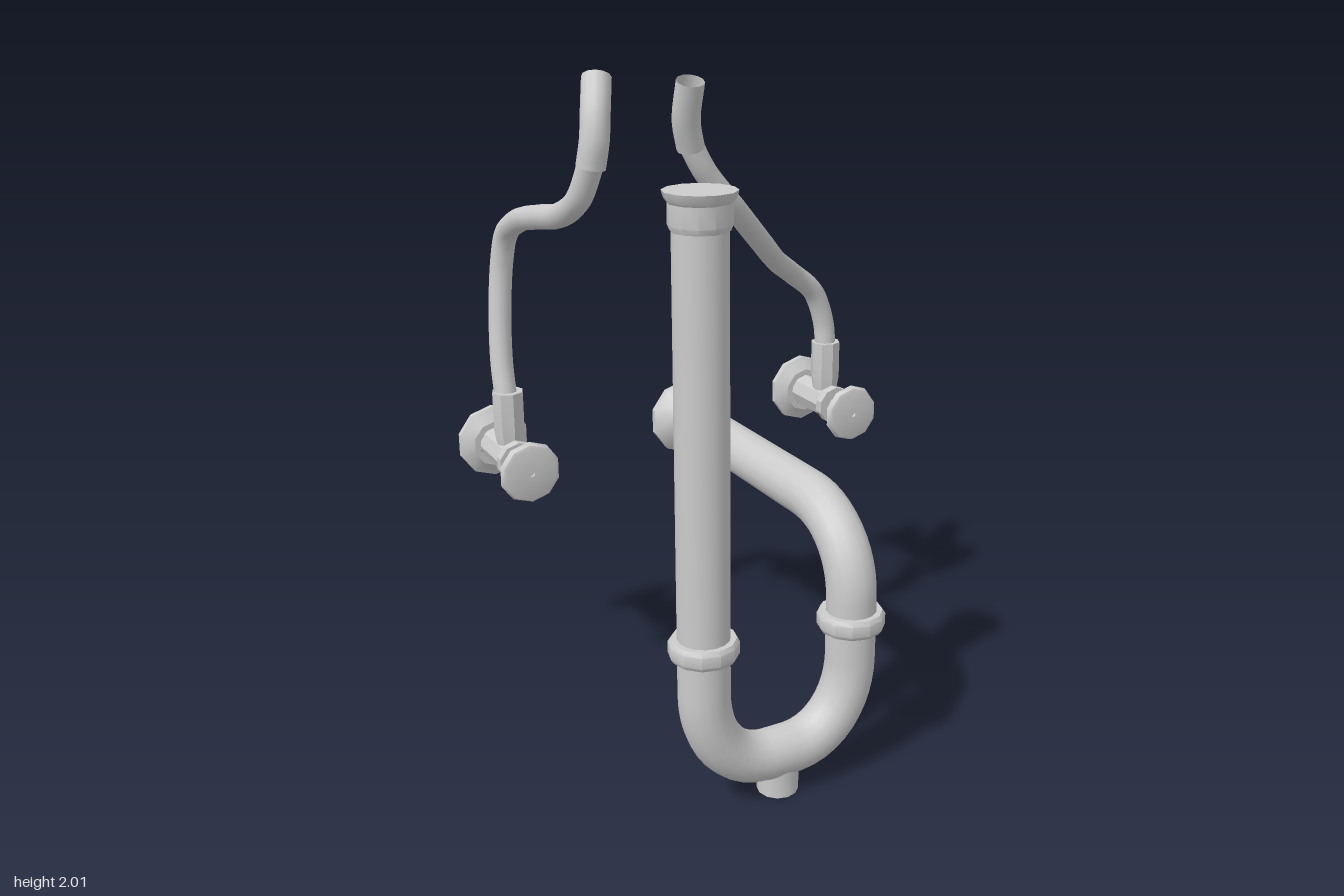
import * as THREE from 'three';
import { toCreasedNormals } from 'three/addons/utils/BufferGeometryUtils.js';

const material = new THREE.MeshStandardMaterial({ color: 0xcccccc, side: THREE.DoubleSide });
const V = (x, y, z) => new THREE.Vector3(x, y, z);

function add(parent, name, geometry, x = 0, y = 0, z = 0) {
  const mesh = new THREE.Mesh(geometry, material);
  mesh.name = name;
  mesh.position.set(x, y, z);
  parent.add(mesh);
  return mesh;
}

// Turned part from [radius, height] pairs, optionally laid along +z
function turned(profile, sides, alongZ = false, crease = 0.6) {
  const points = profile.map(([r, h]) => new THREE.Vector2(r, h));
  const geometry = new THREE.LatheGeometry(points, sides);
  if (alongZ) geometry.rotateX(Math.PI / 2);
  return toCreasedNormals(geometry, crease);
}

// Path of straight runs joined by rounded corners [corner, radius before, radius after]
function roundedPath(start, corners, end) {
  const path = new THREE.CurvePath();
  let from = start;
  corners.forEach(([corner, before, after], i) => {
    const next = i + 1 < corners.length ? corners[i + 1][0] : end;
    const a = corner.clone().add(from.clone().sub(corner).setLength(before));
    const b = corner.clone().add(next.clone().sub(corner).setLength(after));
    // handles at 0.58 of the corner give a near-circular bend
    path.add(new THREE.LineCurve3(from, a));
    path.add(new THREE.CubicBezierCurve3(a, a.clone().lerp(corner, 0.58), b.clone().lerp(corner, 0.58), b));
    from = b;
  });
  path.add(new THREE.LineCurve3(from, end));
  return path;
}

function createTrap() {
  const trap = new THREE.Group();
  trap.name = 'drainTrap';
  const z = 0.49, left = -0.375, right = 0.098;

  // Continuous pipe: down, through the U bend, up and back to the wall
  const path = roundedPath(V(left, 1.67, z), [
    [V(left, 0.12, z), 0.25, 0.2],
    [V(right, 0.12, z), 0.2, 0.25],
    [V(right, 0.78, z), 0.23, 0.25],
  ], V(right, 0.78, -0.53));
  add(trap, 'drainPipe', new THREE.TubeGeometry(path, 110, 0.073, 16));

  // Inlet cap and clean-out plug
  add(trap, 'inletCap', turned([[0, 1.65], [0.076, 1.65], [0.082, 1.665], [0.082, 1.72],
    [0.09, 1.73], [0.096, 1.75], [0, 1.75]], 12), left, 0, z);
  add(trap, 'cleanOutPlug', turned([[0, 0], [0.06, 0], [0.06, 0.09]], 12), -0.14, 0, z);

  // Slip nuts
  const nut = turned([[0.07, -0.028], [0.09, -0.028], [0.098, -0.016], [0.098, 0.016],
    [0.09, 0.028], [0.07, 0.028]], 12);
  add(trap, 'slipNut', nut, left, 0.512, z);
  add(trap, 'slipNut', nut, right, 0.483, z);

  // Wall flange, open at the back
  add(trap, 'wallFlange', turned([[0.073, 0], [0.11, 0], [0.126, 0.03], [0.126, 0.05],
    [0.085, 0.105], [0.072, 0.105], [0.072, 0.06]].map(([r, h]) => [r, h]).slice(2), 10, true),
    right, 0.78, -0.585);
  return trap;
}

function createValve(x) {
  const valve = new THREE.Group();
  valve.name = 'shutOffValve';
  valve.position.set(x, 0.8, 0);

  // Wall dish and body along z
  add(valve, 'valveFlange', turned([[0.115, -0.59], [0.115, -0.572], [0.075, -0.545], [0.055, -0.545]], 10, true));
  add(valve, 'valveBody', turned([[0.055, -0.56], [0.055, -0.37], [0, -0.37]], 8, true));
  add(valve, 'bonnetCollar', turned([[0, -0.376], [0.063, -0.376], [0.063, -0.345], [0, -0.345]], 10, true));
  add(valve, 'valveStem', turned([[0.03, -0.35], [0.03, -0.26]], 8, true));

  // Handwheel with a small centre dimple
  add(valve, 'handwheel', turned([[0, -0.268], [0.088, -0.268], [0.096, -0.258], [0.09, -0.24],
    [0.08, -0.236], [0.009, -0.236], [0.009, -0.245], [0, -0.245]], 10, true));

  // Outlet with its compression nut
  add(valve, 'valveOutlet', turned([[0.038, 0], [0.038, 0.09]], 8), 0, 0, -0.42);
  add(valve, 'compressionNut', turned([[0, 0.045], [0.042, 0.045], [0.049, 0.09], [0.049, 0.21], [0.03, 0.21]], 8), 0, 0, -0.42);
  return valve;
}

// Flexible hose ending in an open sleeve
function createHose(points, sleevePoints) {
  const hose = new THREE.Group();
  hose.name = 'supplyHose';
  const curve = new THREE.CatmullRomCurve3(points.map((p) => V(...p)));
  const sleeve = new THREE.CatmullRomCurve3(sleevePoints.map((p) => V(...p)));
  add(hose, 'hoseTube', new THREE.TubeGeometry(curve, 64, 0.035, 12));
  add(hose, 'hoseSleeve', new THREE.TubeGeometry(sleeve, 10, 0.04, 12));
  return hose;
}

export function createModel() {
  const model = new THREE.Group();
  model.name = 'sinkPlumbing';
  model.add(createTrap(), createValve(0.573), createValve(-0.573));

  model.add(createHose(
    [[0.573, 0.98, -0.42], [0.565, 1.08, -0.425], [0.52, 1.19, -0.42], [0.42, 1.27, -0.39], [0.3, 1.345, -0.29],
      [0.16, 1.45, -0.15], [0, 1.59, -0.03], [-0.1, 1.7, -0.01], [-0.15, 1.79, -0.01]],
    [[-0.145, 1.77, -0.01], [-0.168, 1.85, 0.01], [-0.174, 1.96, 0.05]],
  ));
  model.add(createHose(
    [[-0.578, 0.98, -0.42], [-0.576, 1.1, -0.45], [-0.565, 1.25, -0.472], [-0.55, 1.4, -0.475], [-0.542, 1.49, -0.445],
      [-0.535, 1.545, -0.35], [-0.53, 1.58, -0.2], [-0.525, 1.61, -0.05], [-0.515, 1.67, 0.06], [-0.5, 1.78, 0.123]],
    [[-0.502, 1.76, 0.118], [-0.493, 1.83, 0.127], [-0.482, 1.9, 0.113], [-0.455, 1.985, 0.065]],
  ));
  return model;
}
